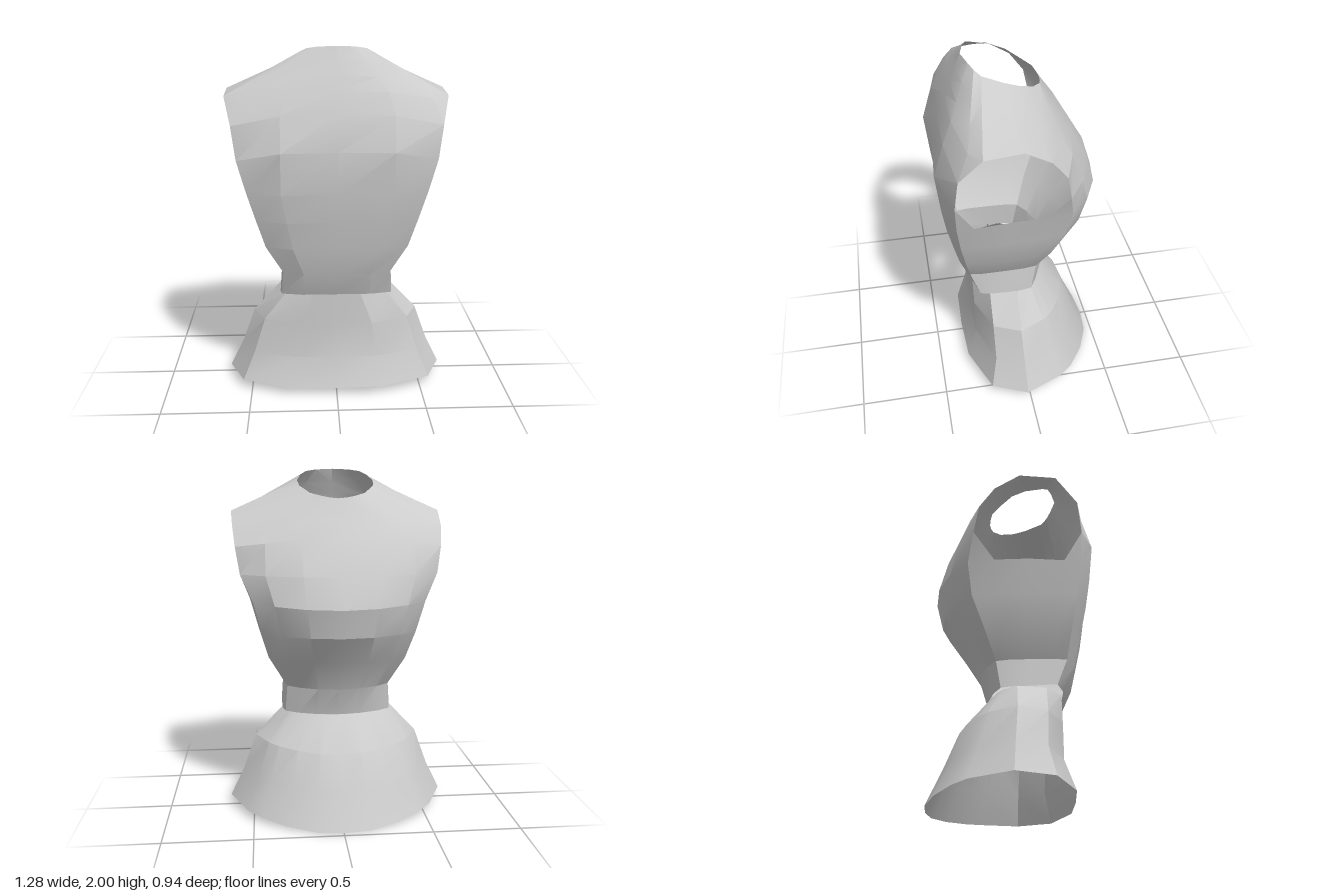
import * as THREE from 'three';
import { toCreasedNormals } from 'three/addons/utils/BufferGeometryUtils.js';

// Half sections from front centre round the left side to back centre:
// [share of half width, depth: 1 = front, 0 = side, -1 = back]
const TORSO = [[0, 0.98], [0.6, 1], [0.97, 0.85], [1, 0.62], [1, 0.12],
  [0.99, -0.28], [0.95, -0.57], [0.72, -0.78], [0.38, -0.94], [0, -1]];
const SKIRT = [[0, 1], [0.42, 0.97], [0.86, 0.63], [1, 0], [0.84, -0.46],
  [0.72, -0.63], [0.5, -0.83], [0.24, -0.97], [0, -1]];

// Scale a half section to one level of the garment
function section(shape, w, zSide, zFront, zBack, yFront, ySide, yBack) {
  return shape.map(([x, t]) => {
    const z = t > 0 ? zFront : zBack, y = t > 0 ? yFront : yBack, a = Math.abs(t);
    return [x * w, ySide + (y - ySide) * a * a, zSide + (z - zSide) * a];
  });
}

// Close a half section into a full loop by mirroring it
function mirrorLoop(half) {
  const other = half.slice(1, -1).reverse().map(p => p && [-p[0], p[1], p[2]]);
  return half.concat(other);
}

// Skin stacked loops; missing points leave an opening with trimmed corners
function skin(name, halves) {
  const loops = halves.map(mirrorLoop), pos = [];
  for (let i = 0; i + 1 < loops.length; i++) {
    const lo = loops[i], hi = loops[i + 1], n = lo.length;
    for (let j = 0; j < n; j++) {
      const k = (j + 1) % n;
      const c = [lo[j], lo[k], hi[k], hi[j]].filter(Boolean);
      for (let m = 1; m + 1 < c.length; m++) pos.push(...c[0], ...c[m], ...c[m + 1]);
    }
  }
  const geo = new THREE.BufferGeometry();
  geo.setAttribute('position', new THREE.Float32BufferAttribute(pos, 3));
  const mesh = new THREE.Mesh(toCreasedNormals(geo, 0.35),
    new THREE.MeshStandardMaterial({ color: 0xcccccc, side: THREE.DoubleSide }));
  mesh.name = name;
  return mesh;
}

const blend = (a, b, t) => a.map((p, i) => p.map((v, k) => v + (b[i][k] - v) * t));

export function createModel() {
  const group = new THREE.Group();
  group.name = 'sleevelessTunic';

  // Flared skirt from hem to waist
  group.add(skin('skirt', [
    [0.64, 0.02, 0.34, -0.47, 0.05, 0.055, 0.0],
    [0.56, 0.025, 0.28, -0.38, 0.22, 0.22, 0.2],
    [0.485, 0.035, 0.28, -0.3, 0.43, 0.43, 0.4],
    [0.325, 0.03, 0.28, -0.14, 0.615, 0.6, 0.59],
  ].map(r => section(SKIRT, ...r))));

  // Bodice from waist to armpit
  const body = [
    [0.322, 0.05, 0.28, -0.14, 0.615, 0.6, 0.59],
    [0.31, 0.05, 0.345, -0.187, 0.76, 0.76, 0.75],
    [0.405, 0.05, 0.38, -0.3, 0.92, 0.92, 0.93],
    [0.455, 0.05, 0.415, -0.415, 1.08, 1.09, 1.09],
    [0.505, 0.05, 0.44, -0.455, 1.24, 1.275, 1.25],
  ].map(r => section(TORSO, ...r));

  // Chest and back panels, open at the sides for the arms
  const gap = [null, null, null];
  const chest = [
    [0, 1.47, 0.445], [0.3, 1.47, 0.465], [0.535, 1.42, 0.39], ...gap,
    [0.55, 1.42, -0.205], [0.41, 1.42, -0.3], [0.21, 1.42, -0.375], [0, 1.42, -0.4],
  ];
  const upperChest = [
    [0, 1.66, 0.405], [0.3, 1.655, 0.41], [0.56, 1.6, 0.37], ...gap,
    [0.575, 1.57, -0.175], [0.41, 1.59, -0.235], [0.21, 1.61, -0.27], [0, 1.62, -0.28],
  ];

  // Shoulder line and neckline, with even rows between them
  const shoulder = [
    [0, 1.78, 0.36], [0.27, 1.77, 0.36], [0.51, 1.73, 0.31], [0.6, 1.74, 0.25], [0.6, 1.76, 0.05],
    [0.59, 1.68, -0.09], [0.47, 1.67, -0.14], [0.34, 1.69, -0.175], [0.18, 1.715, -0.2], [0, 1.72, -0.21],
  ];
  const neck = [
    [0, 2, 0.27], [0.1, 1.995, 0.245], [0.16, 1.985, 0.222], [0.195, 1.965, 0.19], [0.22, 1.93, 0.08],
    [0.21, 1.9, 0], [0.155, 1.86, -0.08], [0.1, 1.845, -0.125], [0.05, 1.835, -0.138], [0, 1.83, -0.143],
  ];
  group.add(skin('bodice', [...body, chest, upperChest, shoulder,
    blend(shoulder, neck, 1 / 3), blend(shoulder, neck, 2 / 3), neck]));

  return group;
}
